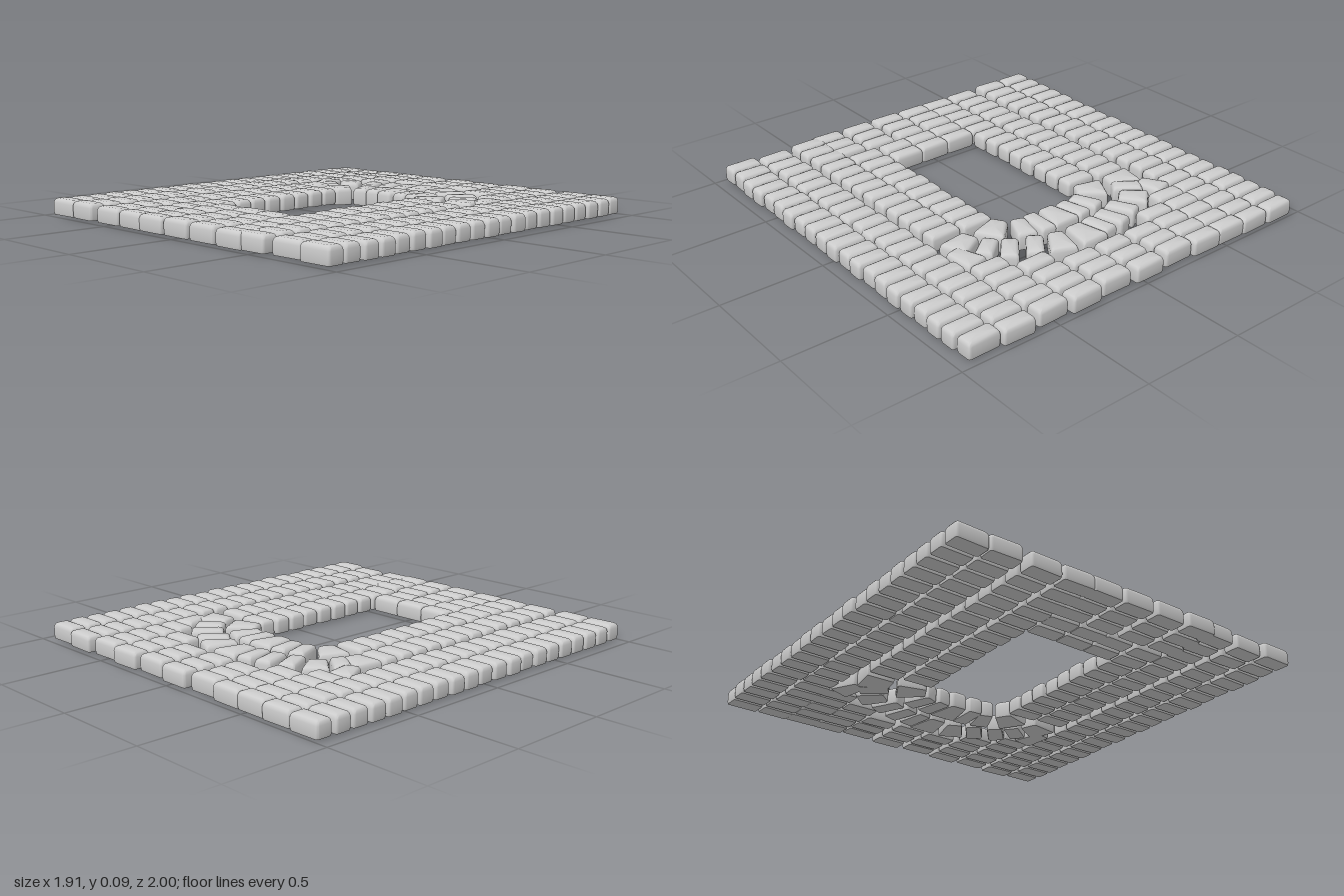
import * as THREE from 'three';
import { mergeVertices, toCreasedNormals } from 'three/addons/utils/BufferGeometryUtils.js';

const material = new THREE.MeshStandardMaterial({ color: 0xcccccc });
const CORNER_STEPS = 4;

// small seeded generator for the hand-laid irregularity
let seed = 7;
const jitter = (amount) => {
  seed = (seed * 16807) % 2147483647;
  return (seed / 2147483647 - 0.5) * 2 * amount;
};

// outline of a four-cornered stone, pulled in by inset and with rounded corners
function outline(corners, inset, radius) {
  const quad = corners.map(([x, z]) => new THREE.Vector2(x - Math.sign(x) * inset, z - Math.sign(z) * inset));
  const points = [];
  quad.forEach((p, i) => {
    const toward = (q) => p.clone().add(q.clone().sub(p).setLength(radius));
    const curve = new THREE.QuadraticBezierCurve(toward(quad[(i + 3) % 4]), p, toward(quad[(i + 1) % 4]));
    points.push(...curve.getPoints(CORNER_STEPS));
  });
  return points;
}

// stone with a flat base, upright sides and a softly rounded top
function stoneGeometry(length, outer, inner, bottom, top) {
  const h = length / 2;
  const corners = [[-outer / 2, -h], [-inner / 2, h], [inner / 2, h], [outer / 2, -h]];
  // [height, inset, corner radius]
  const levels = [
    [bottom, 0.003, 0.012], [bottom + 0.012, 0, 0.014], [top - 0.022, 0, 0.014],
    [top - 0.011, 0.003, 0.014], [top - 0.004, 0.008, 0.013], [top, 0.017, 0.01],
  ];
  const n = 4 * (CORNER_STEPS + 1);
  const positions = [];
  const index = [];
  levels.forEach(([y, inset, radius]) => {
    outline(corners, inset, radius).forEach((p) => positions.push(p.x, y, p.y));
  });
  positions.push(0, bottom, 0, 0, top + 0.001, 0);
  const base = levels.length * n;
  const last = base - n;
  for (let i = 0; i < n; i++) {
    const j = (i + 1) % n;
    for (let k = 0; k < levels.length - 1; k++) {
      const a = k * n + i, b = k * n + j;
      index.push(a, b, b + n, a, b + n, a + n);
    }
    index.push(base, j, i, base + 1, last + i, last + j);
  }
  const geometry = new THREE.BufferGeometry();
  geometry.setAttribute('position', new THREE.Float32BufferAttribute(positions, 3));
  geometry.setIndex(index);
  return toCreasedNormals(mergeVertices(geometry), 0.8);
}

function addStone(group, name, x, z, degrees, length, outer, inner, bottom, top) {
  const mesh = new THREE.Mesh(stoneGeometry(length, outer, inner, bottom, top), material);
  mesh.name = name;
  mesh.position.set(x, 0, z);
  mesh.rotation.y = -THREE.MathUtils.degToRad(degrees);
  group.add(mesh);
}

// stacks of bricks: [x centre, first z, last z, count]
const stacks = [
  // outer full-height stacks
  [-0.868, -0.957, 0.945, 21], [-0.697, -0.952, 0.947, 21],
  [0.692, -0.945, 0.93, 21], [0.868, -0.93, 0.945, 21],
  // above the arch
  [-0.542, -0.947, -0.575, 5], [-0.383, -0.947, -0.66, 4], [-0.215, -0.93, -0.75, 3],
  [-0.025, -0.945, -0.75, 3], [0.15, -0.93, -0.75, 3], [0.337, -0.945, -0.655, 4],
  [0.513, -0.93, -0.56, 5],
  // both sides of the opening
  [-0.5, -0.205, 0.945, 13], [-0.322, -0.185, 0.945, 13],
  [0.328, -0.205, 0.655, 10], [0.497, -0.19, 0.945, 13], [0.367, 0.765, 0.955, 3],
  // below the opening
  [-0.16, 0.56, 0.66, 2], [-0.002, 0.56, 0.66, 2], [0.155, 0.56, 0.66, 2],
  [-0.172, 0.76, 0.947, 3], [0.005, 0.76, 0.945, 3], [0.19, 0.76, 0.947, 3],
];

// arch stones: [x, z, degrees from the crown, length, outer width, inner width]
const innerArch = [
  [-0.49, -0.32, -80, 0.15, 0.145, 0.1], [-0.297, -0.31, -62, 0.145, 0.15, 0.085],
  [-0.195, -0.387, -22, 0.15, 0.085, 0.075], [-0.105, -0.4, -12, 0.155, 0.085, 0.075],
  [-0.005, -0.4, 0, 0.165, 0.145, 0.085], [0.1, -0.4, 3, 0.165, 0.085, 0.075],
  [0.187, -0.39, 20, 0.15, 0.1, 0.075], [0.295, -0.318, 58, 0.15, 0.15, 0.085],
  [0.487, -0.33, 70, 0.15, 0.145, 0.09],
];
const outerArch = [
  [-0.555, -0.465, -20, 0.14, 0.12, 0.08], [-0.455, -0.4, -55, 0.145, 0.085, 0.08],
  [-0.405, -0.495, -42, 0.14, 0.125, 0.09], [-0.29, -0.535, -26, 0.15, 0.085, 0.08],
  [-0.19, -0.57, -18, 0.155, 0.085, 0.08], [-0.095, -0.585, -10, 0.155, 0.085, 0.075],
  [0.005, -0.6, 0, 0.165, 0.15, 0.09], [0.14, -0.59, 25, 0.16, 0.13, 0.075],
  [0.245, -0.545, 38, 0.155, 0.085, 0.08], [0.35, -0.497, 40, 0.155, 0.085, 0.08],
  [0.42, -0.425, 52, 0.14, 0.085, 0.08], [0.55, -0.435, -12, 0.155, 0.12, 0.08],
];

export function createModel() {
  const model = new THREE.Group();
  model.name = 'stoneArchWall';

  // coursed bricks
  const bricks = new THREE.Group();
  bricks.name = 'bricks';
  stacks.forEach(([x, first, last, count]) => {
    for (let i = 0; i < count; i++) {
      const z = first + ((last - first) * i) / (count - 1);
      const width = 0.162 + jitter(0.003);
      addStone(bricks, 'brick', x + jitter(0.005), z, jitter(1.6), 0.083, width, width, 0.009, 0.087 + jitter(0.002));
    }
  });
  model.add(bricks);

  // two rings of wedge stones around the head of the opening
  [['innerArch', innerArch], ['outerArch', outerArch]].forEach(([name, stones]) => {
    const ring = new THREE.Group();
    ring.name = name;
    stones.forEach(([x, z, ...shape]) => addStone(ring, 'archStone', x, z, ...shape, 0, 0.086));
    model.add(ring);
  });

  return model;
}
